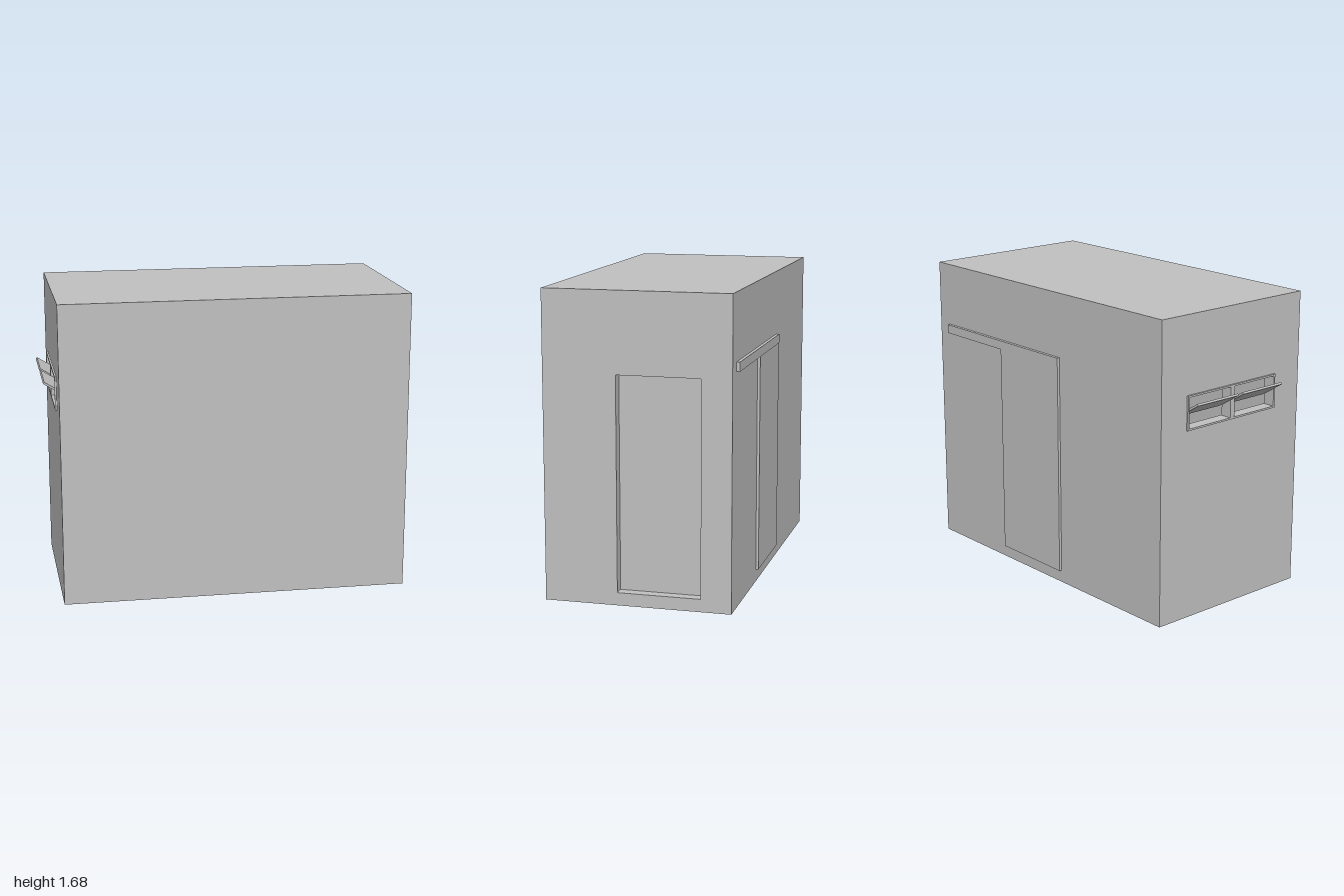
import * as THREE from 'three';

const T = 0.06; // wall thickness
const X0 = -0.93, X1 = 1.0, Z0 = -0.5, Z1 = 0.52, H = 1.68;

function outline(Type, u0, u1, v0, v1) {
  const s = new Type();
  s.moveTo(u0, v0);
  s.lineTo(u1, v0);
  s.lineTo(u1, v1);
  s.lineTo(u0, v1);
  s.closePath();
  return s;
}

export function createModel() {
  const group = new THREE.Group();
  const grey = new THREE.MeshStandardMaterial({ color: 0xc0c0c0 });
  grey.name = 'light grey';

  function add(name, geometry) {
    const mesh = new THREE.Mesh(geometry, grey);
    mesh.name = name;
    group.add(mesh);
    return mesh;
  }

  // Box given by its limits on each axis
  function block(name, x0, x1, y0, y1, z0, z1) {
    const g = new THREE.BoxGeometry(x1 - x0, y1 - y0, z1 - z0);
    g.translate((x0 + x1) / 2, (y0 + y1) / 2, (z0 + z1) / 2);
    return add(name, g);
  }

  // Rectangle in the zy plane with rectangular holes, extruded along x
  function panel(name, x0, x1, rect, holes) {
    const shape = outline(THREE.Shape, ...rect);
    for (const h of holes) shape.holes.push(outline(THREE.Path, ...h));
    const g = new THREE.ExtrudeGeometry(shape, { depth: x1 - x0, bevelEnabled: false });
    g.rotateY(-Math.PI / 2);
    g.translate(x1, 0, 0);
    return add(name, g);
  }

  // Hollow room: end walls with openings, long walls, floor and roof
  const end = [Z0, Z1, 0, H];
  panel('doorwayWall', X1 - T, X1, end, [[-0.335, 0.12, 0.07, 1.24]]);
  panel('windowWall', X0, X0 + T, end, [[-0.31, 0.32, 1.07, 1.24]]);
  panel('roomShell', X0 + T, X1 - T, end, [[Z0 + T, Z1 - T, T, H - T]]);

  // Hinged door set back in its doorway, with a narrow gap at one side
  block('sideDoor', X1 - T - 0.03, X1 - T, 0.05, 1.26, -0.327, 0.14);

  // Sliding door hung from its rail on the back
  block('slidingDoor', -0.11, 0.4, 0.07, 1.27, Z0 - 0.015, Z0);
  block('slidingRail', -0.11, 0.91, 1.27, 1.32, Z0 - 0.018, Z0);

  // Window frame with two tilted sashes
  panel('windowFrame', X0 - 0.01, X0 + T - 0.005, [-0.32, 0.33, 1.06, 1.25], [
    [-0.31, -0.01, 1.07, 1.24],
    [0.02, 0.32, 1.07, 1.24],
  ]);
  for (const z of [-0.16, 0.17]) {
    const sash = add('windowSash', new THREE.BoxGeometry(0.16, 0.012, 0.296));
    sash.position.set(-0.93, 1.17, z);
    sash.rotation.z = -0.56;
  }

  return group;
}
